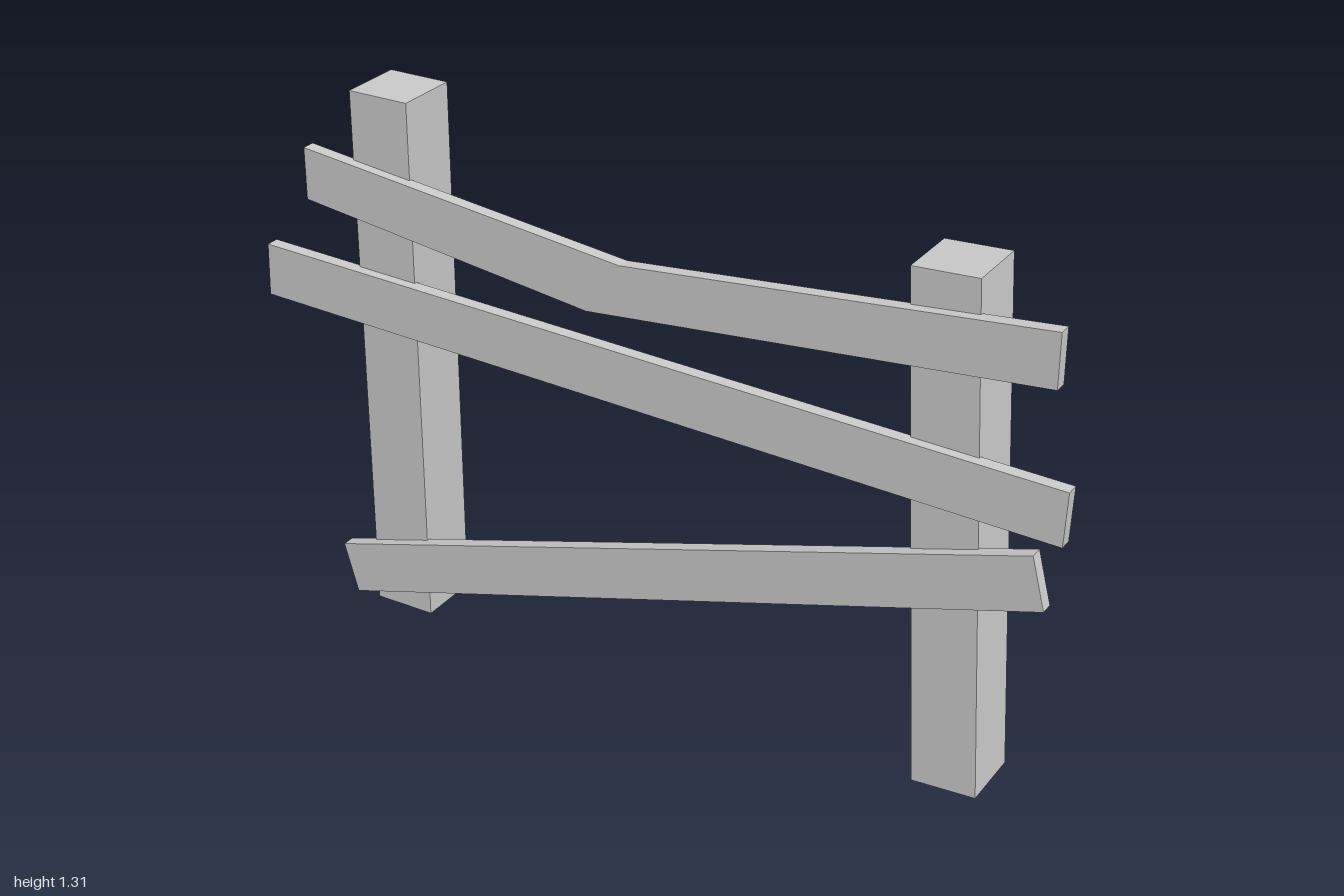
import * as THREE from 'three';

const material = new THREE.MeshStandardMaterial({ color: 0xcccccc, flatShading: true, side: THREE.DoubleSide });

// Square post with an open underside
function post(name, x, y, height, tilt) {
  const geo = new THREE.BoxGeometry(0.153, height, 0.155);
  const index = Array.from(geo.index.array);
  index.splice(18, 6); // drop the bottom face
  geo.setIndex(index);
  geo.clearGroups();
  const mesh = new THREE.Mesh(geo, material);
  mesh.name = name;
  mesh.position.set(x, y, -0.0125);
  mesh.rotation.z = tilt;
  return mesh;
}

// Flat plank cut from an outline in the front plane
function rail(name, outline) {
  const shape = new THREE.Shape(outline.map(([x, y]) => new THREE.Vector2(x, y)));
  const geo = new THREE.ExtrudeGeometry(shape, { depth: 0.032, bevelEnabled: false });
  geo.translate(0, 0, 0.058);
  const mesh = new THREE.Mesh(geo, material);
  mesh.name = name;
  return mesh;
}

export function createModel() {
  const fence = new THREE.Group();
  fence.name = 'brokenFence';

  // Upright post and leaning post
  fence.add(post('rightPost', -0.675, 0.6625, 1.305, 0));
  fence.add(post('leftPost', 0.729, 0.6125, 1.218, 0.053));

  // Sagging top rail, sloping middle rail, fallen bottom rail
  fence.add(rail('topRail', [[-0.87, 1.04], [-0.125, 0.943], [0.957, 1.04], [0.957, 1.165], [-0.04, 1.07], [-0.87, 1.165]]));
  fence.add(rail('middleRail', [[-1, 0.772], [0.995, 0.697], [1, 0.825], [-0.996, 0.9]]));
  fence.add(rail('bottomRail', [[-0.795, 0.025], [0.967, 0.537], [0.935, 0.66], [-0.83, 0.147]]));
  return fence;
}
